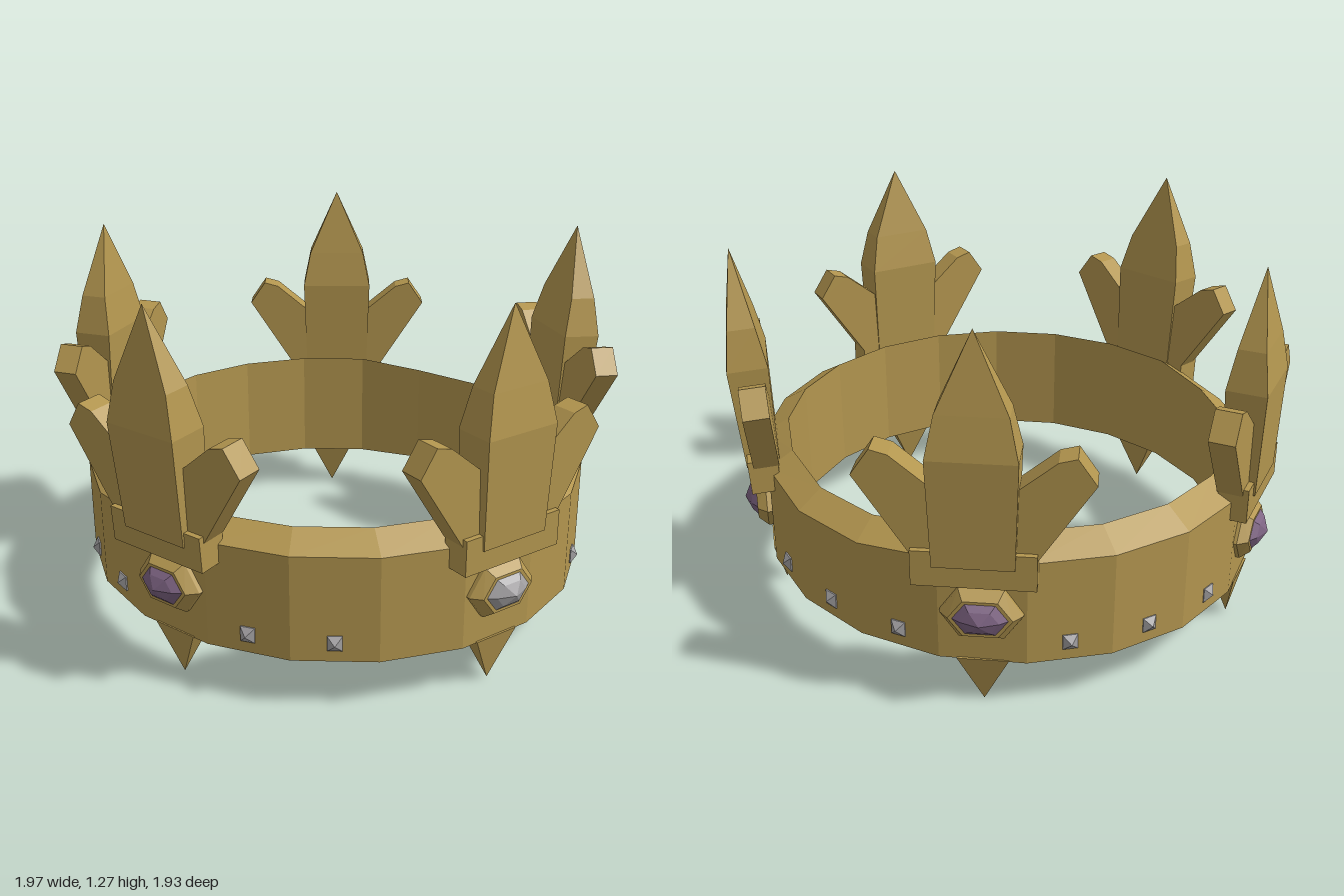
import * as THREE from 'three';
import { ConvexGeometry } from 'three/addons/geometries/ConvexGeometry.js';

const mat = (name, color) => new THREE.MeshStandardMaterial({ name, color, flatShading: true });
const V = (x, y, z) => new THREE.Vector3(x, y, z);
const rad = THREE.MathUtils.degToRad;
const CZ = -0.018; // centre of the band in z

// Rectangular section at height y
const rect = (y, w, d) => [V(-w, y, -d), V(w, y, -d), V(w, y, d), V(-w, y, d)];
// Long hexagon facing +z
const hex = (z, w, h) =>
  [[-w, 0], [-w * 0.54, h], [w * 0.54, h], [w, 0], [w * 0.54, -h], [-w * 0.54, -h]].map(([x, y]) => V(x, y, z));

function add(parent, name, geometry, material) {
  const mesh = new THREE.Mesh(geometry, material);
  mesh.name = name;
  parent.add(mesh);
  return mesh;
}

// Twenty-sided band with an outward-sloping rim that dips a little at the sides
function bandGeometry() {
  const n = 20, pos = [], idx = [];
  const profile = [[0.87, 0.909, 0.17], [0.87, 0.909, 0.53], [0.783, 0.81, 0.585], [0.783, 0.81, 0.17]];
  for (let i = 0; i < n; i++) {
    const deg = 9 + i * 18, a = rad(deg);
    const dip = Math.abs(Math.abs(deg - 180) - 72) < 10 ? 0.022 : 0;
    profile.forEach(([rx, rz, y], k) =>
      pos.push(rx * Math.sin(a), y - (k === 1 || k === 2 ? dip : 0), CZ + rz * Math.cos(a)));
    for (let k = 0; k < 4; k++) {
      const A = i * 4 + k, B = ((i + 1) % n) * 4 + k;
      const A2 = i * 4 + (k + 1) % 4, B2 = ((i + 1) % n) * 4 + (k + 1) % 4;
      idx.push(A, B, B2, A, B2, A2);
    }
  }
  const g = new THREE.BufferGeometry();
  g.setAttribute('position', new THREE.Float32BufferAttribute(pos, 3));
  g.setIndex(idx);
  const flat = g.toNonIndexed();
  flat.computeVertexNormals();
  return flat;
}

// Slanted side arm of an ornament, s = 1 or -1
function armGeometry(s) {
  const outline = [[0.358, 0.82], [0.3, 0.905], [0.245, 0.89], [0.1, 0.77], [0.1, 0.56], [0.19, 0.56]];
  const shape = new THREE.Shape(outline.map(([x, y]) => new THREE.Vector2(s * x, y - 0.52)));
  const g = new THREE.ExtrudeGeometry(shape, { depth: 0.086, bevelEnabled: false });
  g.translate(0, 0, -0.054);
  return g;
}

export function createModel() {
  const gold = mat('gold', 0xb3964f);
  const silver = mat('silver', 0xa3a1a3);
  const purple = mat('purple gem', 0x7d6382);

  const crown = new THREE.Group();
  crown.name = 'crown';
  add(crown, 'band', bandGeometry(), gold);

  // Shared ornament shapes
  const plinth = new THREE.BoxGeometry(0.38, 0.12, 0.1).translate(0, 0.005, 0);
  const spike = new ConvexGeometry([
    ...rect(0.015, 0.125, 0.056), ...rect(0.375, 0.136, 0.068), ...rect(0.51, 0.108, 0.046), V(0, 0.755, 0)]);
  const arms = [armGeometry(1), armGeometry(-1)];
  const point = new ConvexGeometry([...rect(0.175, 0.082, 0.037), V(0, 0, 0)]);
  const setting = new ConvexGeometry([...hex(-0.03, 0.13, 0.086), ...hex(0.015, 0.13, 0.086), ...hex(0.048, 0.1, 0.062)]);
  const gem = new ConvexGeometry([...hex(0.04, 0.098, 0.06), ...hex(0.066, 0.06, 0.036), V(0, 0, 0.088)]);

  // Position of each ornament, its yaw and outward lean
  const places = [
    [0, 0.888, 0, 0],
    [0.83, 0.262, 72.5, 0.065], [-0.83, 0.262, -72.5, 0.065],
    [0.52, -0.732, 144.5, 0], [-0.52, -0.732, -144.5, 0],
  ];
  places.forEach(([x, z, yaw, lean], i) => {
    const ornament = new THREE.Group();
    ornament.name = 'ornament';
    ornament.position.set(x, 0.52, z);
    ornament.rotation.set(lean, rad(yaw), 0, 'YXZ');
    add(ornament, 'plinth', plinth, gold);
    add(ornament, 'spike', spike, gold);
    arms.forEach((g) => add(ornament, 'sideArm', g, gold));
    crown.add(ornament);

    // Gem and lower point sit on the band below the ornament
    const a = rad(Math.round(yaw / 72) * 72);
    const jewel = new THREE.Group();
    jewel.name = 'jewel';
    jewel.position.set(0.86 * Math.sin(a), 0.353, CZ + 0.897 * Math.cos(a));
    jewel.rotation.y = rad(yaw);
    add(jewel, 'setting', setting, gold);
    add(jewel, 'gem', gem, i === 0 ? silver : purple);
    crown.add(jewel);

    const low = add(crown, 'lowerPoint', point, gold);
    low.position.set(0.827 * Math.sin(a), 0, CZ + 0.868 * Math.cos(a));
    low.rotation.y = rad(yaw);
  });

  // Small pyramid studs around the band
  const stud = new ConvexGeometry([
    V(-0.024, -0.026, -0.01), V(0.024, -0.026, -0.01), V(0.024, 0.026, -0.01), V(-0.024, 0.026, -0.01),
    V(-0.024, -0.026, 0.004), V(0.024, -0.026, 0.004), V(0.024, 0.026, 0.004), V(-0.024, 0.026, 0.004),
    V(0, 0, 0.024)]);
  for (const deg of [36, 54, 90, 108, 126, 162, 180, 198, 234, 252, 270, 306, 324]) {
    const a = rad(deg);
    const s = add(crown, 'stud', stud, silver);
    s.position.set(0.86 * Math.sin(a), 0.235, CZ + 0.897 * Math.cos(a));
    s.rotation.y = a;
  }
  return crown;
}
